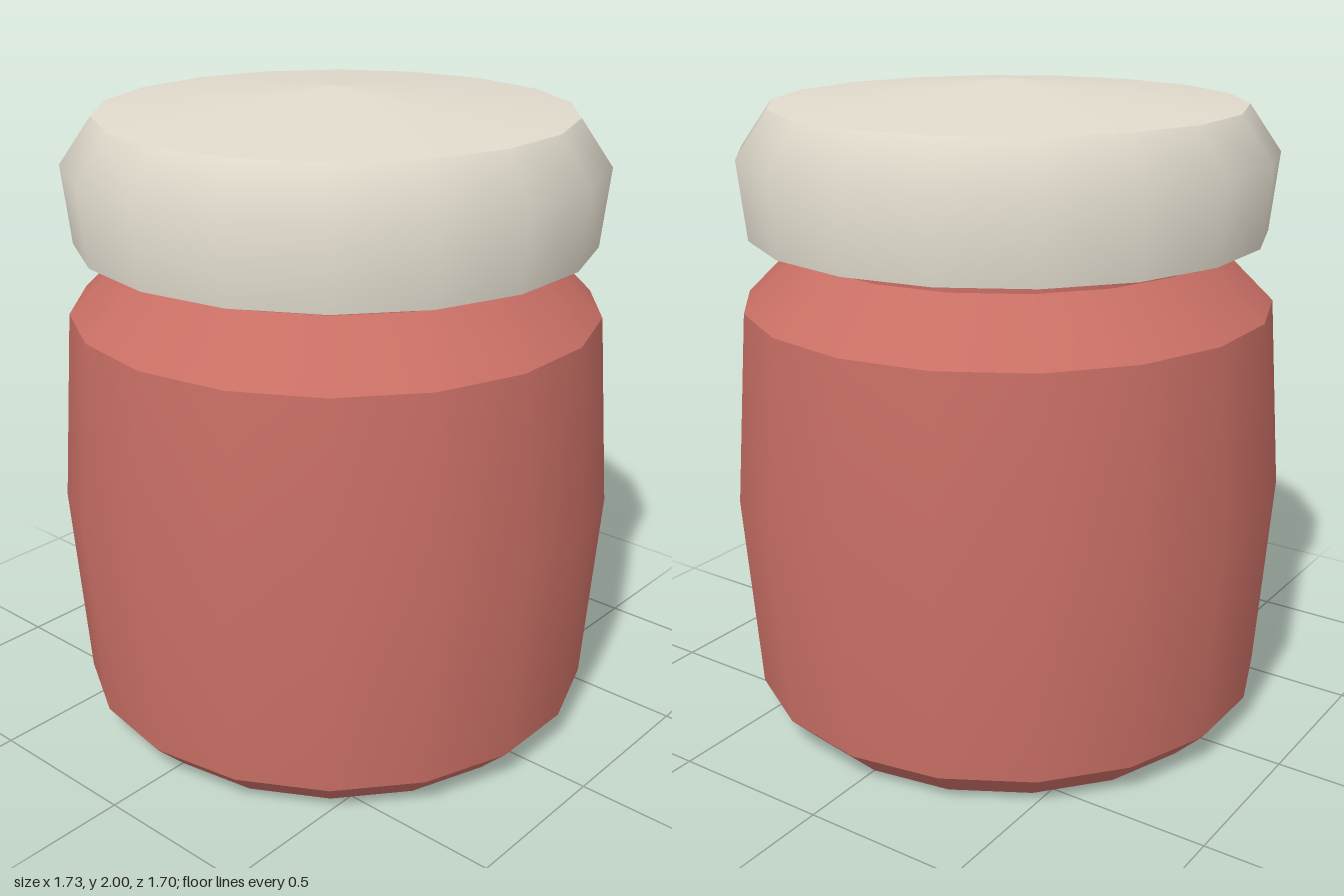
import * as THREE from 'three';

const SIDES = 18;

const red = new THREE.MeshStandardMaterial({ color: 0xc96f65 });
red.name = 'terracotta red';
const cream = new THREE.MeshStandardMaterial({ color: 0xe0dacc, side: THREE.DoubleSide });
cream.name = 'cream';
const black = new THREE.MeshStandardMaterial({ color: 0x1c1c1c });
black.name = 'black';

// Each band is turned separately so that the edges between bands stay sharp.
function turned(name, material, bands) {
  const group = new THREE.Group();
  group.name = name;
  for (const [part, profile] of Object.entries(bands)) {
    const points = profile.map(([r, y]) => new THREE.Vector2(r, y));
    const mesh = new THREE.Mesh(new THREE.LatheGeometry(points, SIDES, Math.PI / 2), material);
    mesh.name = part;
    group.add(mesh);
  }
  return group;
}

export function createModel() {
  const model = new THREE.Group();
  model.name = 'jar';

  // Bulging jar with a chamfered foot and a narrow neck
  model.add(turned('body', red, {
    base: [[0, 0], [0.72, 0]],
    foot: [[0.72, 0], [0.82, 0.1]],
    belly: [[0.82, 0.1], [0.865, 0.73], [0.82, 1.33]],
    shoulder: [[0.82, 1.33], [0.65, 1.5]],
    neck: [[0.65, 1.5], [0.65, 1.58]],
  }));

  // Dark seal inside the lid
  model.add(turned('seal', black, {
    sealUnderside: [[0, 1.57], [0.74, 1.57]],
    sealWall: [[0.74, 1.57], [0.74, 1.75]],
    sealTop: [[0.74, 1.75], [0, 1.75]],
  }));

  // Open-bottomed lid with a shallow conical top
  model.add(turned('lid', cream, {
    lidWall: [[0.795, 1.55], [0.82, 1.79], [0.722, 1.93]],
    lidTop: [[0.722, 1.93], [0, 2]],
  }));

  return model;
}
